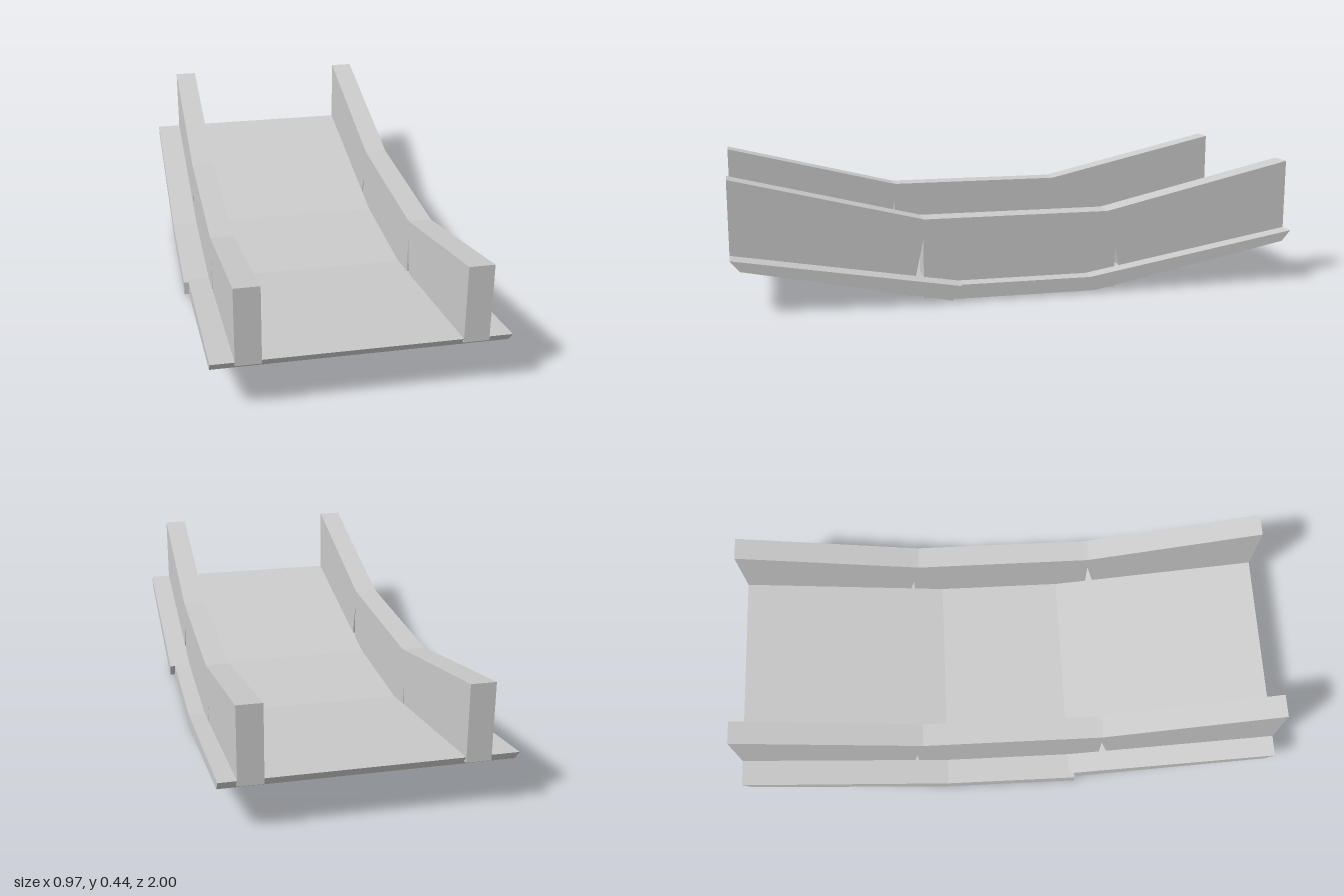
import * as THREE from 'three';

const material = new THREE.MeshStandardMaterial({ color: 0xcccccc, flatShading: true });

// Extrudes a side profile of [z, y] points across the span x0..x1.
function prism(name, profile, x0, x1) {
  const shape = new THREE.Shape(profile.map(([z, y]) => new THREE.Vector2(z, y)));
  const geometry = new THREE.ExtrudeGeometry(shape, { depth: x1 - x0, bevelEnabled: false });
  geometry.rotateY(-Math.PI / 2).translate(x1, 0, 0);
  const mesh = new THREE.Mesh(geometry, material);
  mesh.name = name;
  return mesh;
}

export function createModel() {
  const group = new THREE.Group();
  group.name = 'curvedTrackSection';

  // Deck: a level middle slab and two rising ends, the front one shifted sideways
  group.add(
    prism('middleDeck', [[-0.25, 0.008], [0.25, 0.008], [0.25, 0.057], [-0.235, 0.057]], -0.488, 0.467),
    prism('frontDeck', [[0.23, 0.057], [0.262, 0.008], [0.968, 0.15], [1, 0.188]], -0.471, 0.485),
    prism('rearDeck', [[-0.235, 0.057], [-0.25, 0.008], [-0.968, 0.15], [-1, 0.188]], -0.488, 0.467)
  );

  // Side rails: a level piece and two tilted pieces with a wedge gap at each joint
  const rails = { rightRail: [-0.395, -0.312], leftRail: [0.325, 0.408] };
  for (const [name, [x0, x1]] of Object.entries(rails)) {
    const rail = new THREE.Group();
    rail.name = name;
    rail.add(
      prism('middleRail', [[-0.345, 0], [0.35, 0], [0.35, 0.28], [-0.345, 0.28]], x0, x1),
      prism('frontRail', [[0.335, 0.28], [0.393, 0.01], [1, 0.175], [1, 0.443], [0.35, 0.281]], x0, x1),
      prism('rearRail', [[-0.315, 0.28], [-0.375, 0.018], [-1, 0.169], [-1, 0.436], [-0.32, 0.281]], x0, x1)
    );
    group.add(rail);
  }
  return group;
}
